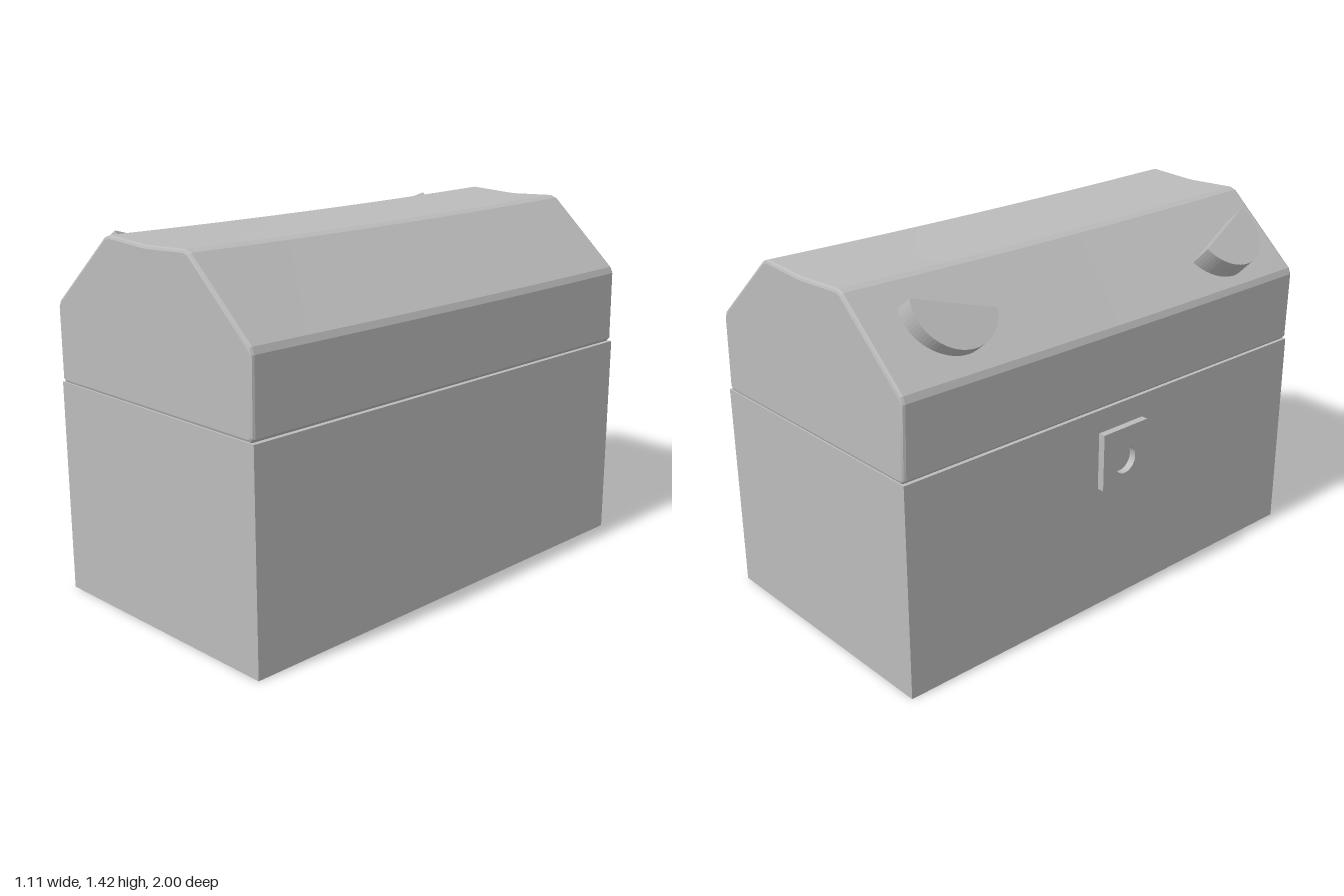
import * as THREE from 'three';
import { toCreasedNormals } from 'three/addons/utils/BufferGeometryUtils.js';

const grey = new THREE.MeshStandardMaterial({ color: 0xbbbbbb });
grey.name = 'plain grey';

function addPart(parent, name, geometry) {
  const mesh = new THREE.Mesh(geometry, grey);
  mesh.name = name;
  parent.add(mesh);
  return mesh;
}

// Closed outline whose corners are each cut by a small chamfer
function chamferedShape(points, cut) {
  const corners = points.map(([x, y]) => new THREE.Vector2(x, y));
  const outline = [];
  corners.forEach((p, i) => {
    for (const step of [-1, 1]) {
      const q = corners[(i + step + corners.length) % corners.length];
      outline.push(p.clone().add(q.clone().sub(p).setLength(cut)));
    }
  });
  return new THREE.Shape(outline);
}

// Faceted lid with softened edges and a slightly sagging ridge
function lidGeometry() {
  const bevel = 0.012;
  const shape = chamferedShape([
    [-0.527, 0.832], [0.553, 0.832], [0.553, 1.14], [0.24, 1.422],
    [0.02, 1.411], [-0.21, 1.422], [-0.534, 1.135],
  ], 0.015);
  const geo = new THREE.ExtrudeGeometry(shape, {
    depth: 2 - 2 * bevel, steps: 8, bevelEnabled: true, bevelSize: bevel,
    bevelOffset: -bevel, bevelThickness: bevel, bevelSegments: 2,
  });
  geo.translate(0, 0, bevel - 1);
  const pos = geo.attributes.position;
  for (let i = 0; i < pos.count; i++) {
    const x = pos.getX(i), y = pos.getY(i), z = pos.getZ(i);
    const height = THREE.MathUtils.smoothstep(y, 0.83, 1.42);
    pos.setY(i, y - 0.009 * height * (1 - z * z));
    pos.setZ(i, z * (1 - 0.007 * height * Math.min(1, (x / 0.5) ** 2 + 0.3)));
  }
  geo.computeVertexNormals();
  return toCreasedNormals(geo, 0.3);
}

// Half disc whose top face is centred on its straight edge.
// normal: outward [x, y]; turn: swing of the round side towards +z
function halfDisc(parent, name, center, normal, turn, radius) {
  const depth = 0.12;
  const shape = new THREE.Shape();
  shape.absarc(0, 0, radius, 0, Math.PI, false);
  const geo = new THREE.ExtrudeGeometry(shape, { depth, bevelEnabled: false, curveSegments: 18 });
  geo.translate(0, 0, -depth);
  const n = new THREE.Vector3(normal[0], normal[1], 0).normalize();
  const down = new THREE.Vector3(-n.y, n.x, 0);
  const round = down.multiplyScalar(Math.cos(turn)).add(new THREE.Vector3(0, 0, Math.sin(turn)));
  const edge = new THREE.Vector3().crossVectors(round, n);
  const mesh = addPart(parent, name, geo);
  mesh.quaternion.setFromRotationMatrix(new THREE.Matrix4().makeBasis(edge, round, n));
  mesh.position.set(...center);
}

export function createModel() {
  const chest = new THREE.Group();
  chest.name = 'chest';

  // Box and lid
  const body = new THREE.BoxGeometry(1.086, 0.833, 2);
  addPart(chest, 'body', body.translate(0.015, 0.4165, 0));
  addPart(chest, 'lid', lidGeometry());

  // Half-disc eyes on the sloping side of the lid
  halfDisc(chest, 'frontEye', [-0.435, 1.354, 0.675], [-0.707, 0.707], 0.39, 0.168);
  halfDisc(chest, 'backEye', [-0.402, 1.351, -0.67], [-0.77, 0.64], -0.345, 0.168);

  // Lock plate with a round keyhole
  const plate = new THREE.Shape();
  plate.moveTo(-0.115, -0.115).lineTo(0.115, -0.115).lineTo(0.115, 0.115).lineTo(-0.115, 0.115).closePath();
  const hole = new THREE.Path();
  hole.absarc(0, -0.02, 0.055, 0, Math.PI * 2, true);
  plate.holes.push(hole);
  const plateGeo = new THREE.ExtrudeGeometry(plate, { depth: 0.03, bevelEnabled: false, curveSegments: 16 });
  const lock = addPart(chest, 'lockPlate', plateGeo);
  lock.rotation.y = -Math.PI / 2;
  lock.position.set(-0.526, 0.625, 0.015);

  return chest;
}
